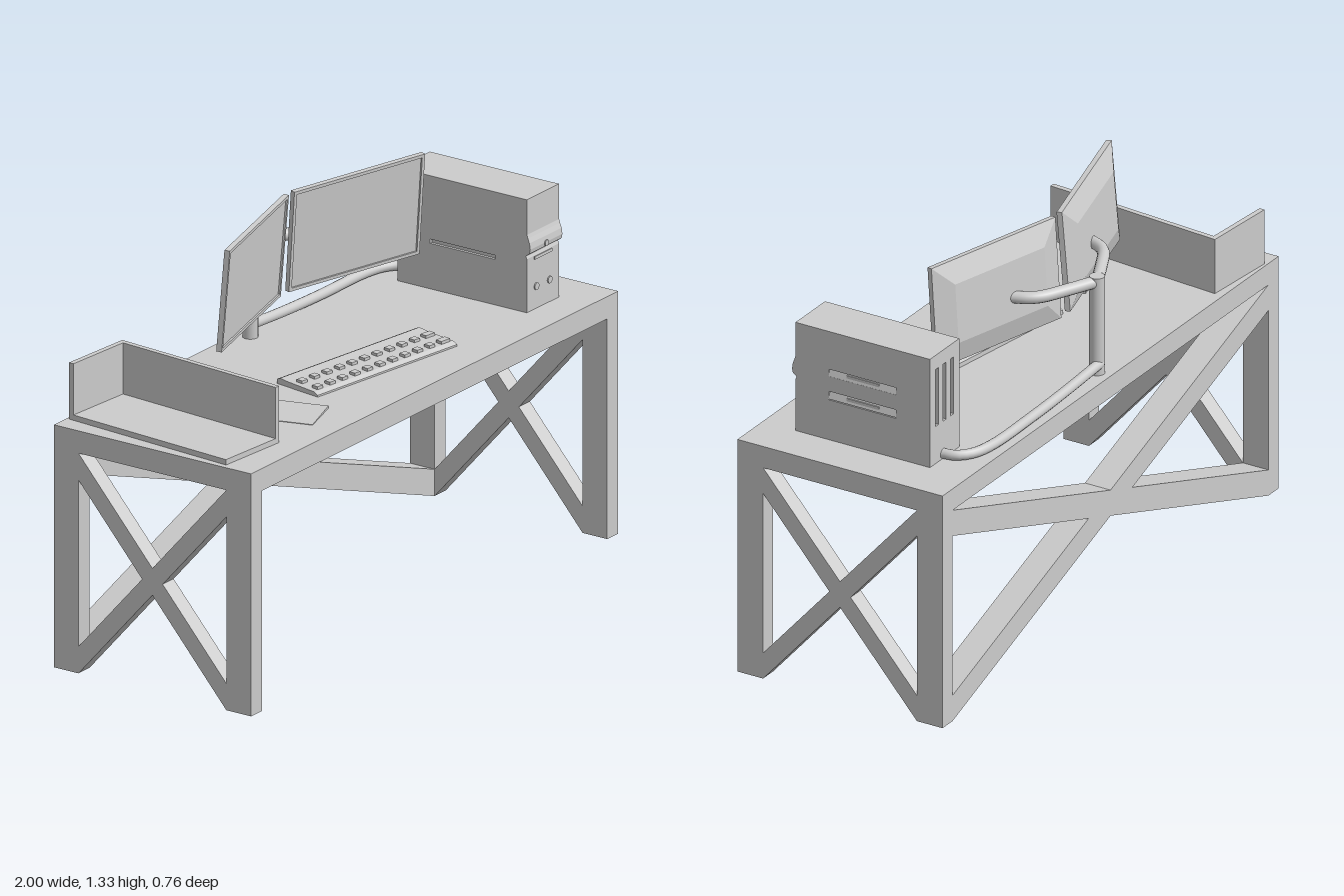
import * as THREE from 'three';

const grey = new THREE.MeshStandardMaterial({ color: 0xcccccc, side: THREE.DoubleSide });
const TOP = 0.815; // height of the desk surface

function add(parent, name, geometry, x = 0, y = 0, z = 0) {
  const mesh = new THREE.Mesh(geometry, grey);
  mesh.name = name;
  mesh.position.set(x, y, z);
  parent.add(mesh);
  return mesh;
}
function group(parent, name, x, y, z, yaw = 0) {
  const g = new THREE.Group();
  g.name = name;
  g.position.set(x, y, z);
  g.rotation.y = yaw;
  parent.add(g);
  return g;
}
const box = (w, h, d) => new THREE.BoxGeometry(w, h, d);
const polygon = (pts) => new THREE.Shape(pts.map((p) => new THREE.Vector2(...p)));
const rect = (cx, cy, w, h) => polygon([
  [cx - w / 2, cy - h / 2], [cx + w / 2, cy - h / 2], [cx + w / 2, cy + h / 2], [cx - w / 2, cy + h / 2]]);

// Extrusion centred on its depth; the side version maps shape x to world z
const extrude = (shape, depth) =>
  new THREE.ExtrudeGeometry(shape, { depth, bevelEnabled: false }).translate(0, 0, -depth / 2);
const extrudeSide = (shape, depth) => extrude(shape, depth).rotateY(-Math.PI / 2);

function tube(points, radius) {
  const curve = new THREE.CatmullRomCurve3(points.map((p) => new THREE.Vector3(...p)), false, 'centripetal');
  return new THREE.TubeGeometry(curve, 40, radius, 14);
}

function buildDesk(root) {
  const desk = group(root, 'desk', 0, 0, 0);
  add(desk, 'deskTop', box(2, 0.075, 0.76), 0, 0.7775, 0);
  for (const sx of [-1, 1]) for (const sz of [-1, 1])
    add(desk, 'leg', box(0.06, 0.74, 0.095), sx * 0.97, 0.37, sz * 0.3325);
  // Diagonal beams run from the foot of one leg to the head of the other
  const beam = (s, half) => polygon([
    [-s * half, 0], [s * half, 0.65], [s * half, 0.74], [-s * half, 0.09]]);
  for (const s of [-1, 1]) {
    add(desk, 'backBrace', extrude(beam(s, 0.94), 0.095), 0, 0, -0.3325);
    for (const side of [-1, 1])
      add(desk, 'sideBrace', extrudeSide(beam(s, 0.285), 0.06), side * 0.97, 0, 0);
  }
}

function buildMonitor(root, side) {
  const monitor = group(root, side < 0 ? 'rightMonitor' : 'leftMonitor', side * 0.277, 1.158, -0.115);
  monitor.rotation.set(0.08, -side * 0.26, 0, 'YXZ');
  const w = 0.535, h = 0.345;
  const frame = rect(0, 0, w, h);
  frame.holes.push(rect(0, 0, w - 0.022, h - 0.022));
  add(monitor, 'bezel', extrude(frame, 0.018), 0, 0, -0.009);
  add(monitor, 'screen', box(w - 0.02, h - 0.02, 0.01), 0, 0, -0.011);
  // Back shell tapers towards the rear
  const shell = box(w, h, 0.024);
  const p = shell.attributes.position;
  for (let i = 0; i < p.count; i++)
    if (p.getZ(i) < 0) p.setXY(i, p.getX(i) * 0.72, p.getY(i) * 0.58);
  shell.computeVertexNormals();
  add(monitor, 'backShell', shell, 0, 0, -0.03);
}

function buildStand(root) {
  const stand = group(root, 'monitorStand', 0, 0, 0);
  add(stand, 'post', new THREE.CylinderGeometry(0.025, 0.025, 0.34, 20), 0, TOP + 0.17, -0.33);
  for (const s of [-1, 1])
    add(stand, 'arm', tube([[0, 1.135, -0.33], [s * 0.1, 1.135, -0.283], [s * 0.185, 1.135, -0.238],
      [s * 0.215, 1.135, -0.205], [s * 0.24, 1.135, -0.145]], 0.02));
  add(root, 'cable', tube([[0, 0.85, -0.34], [0.2, 0.838, -0.34], [0.4, 0.832, -0.34], [0.64, 0.832, -0.338],
    [0.72, 0.832, -0.318], [0.762, 0.832, -0.28], [0.772, 0.832, -0.23]], 0.017));
}

function buildTower(root) {
  const tower = group(root, 'computerTower', 0.7625, TOP, 0);
  const w = 0.175, skin = 0.01;
  // Side outline with a rounded ridge across the front
  const outline = (back) => polygon([
    [back, 0], [0.258, 0], [0.258, 0.18], [0.254, 0.19], [0.268, 0.2], [0.271, 0.215],
    [0.268, 0.235], [0.262, 0.25], [0.258, 0.262], [0.258, 0.38], [back, 0.38]]);
  add(tower, 'case', extrudeSide(outline(-0.228), w - 2 * skin));
  // Side panels with vent slots
  const vented = outline(-0.24);
  vented.holes.push(rect(0.01, 0.235, 0.25, 0.025), rect(0.01, 0.155, 0.25, 0.03));
  add(tower, 'leftPanel', extrudeSide(vented, skin), (w - skin) / 2, 0, 0);
  for (const y of [0.235, 0.155]) {
    const louver = add(tower, 'louver', box(0.003, 0.026, 0.25), (w - skin) / 2, y, 0.01);
    louver.rotation.z = 0.35;
    add(tower, 'louverRecess', box(0.006, 0.012, 0.12), (w - skin) / 2, y, 0.01);
  }
  const slotted = outline(-0.24);
  slotted.holes.push(rect(0.01, 0.16, 0.25, 0.014));
  add(tower, 'rightPanel', extrudeSide(slotted, skin), -(w - skin) / 2, 0, 0);
  // Rear panel with upright vents
  const rear = rect(0, 0.19, w - 2 * skin, 0.38);
  for (const x of [-0.045, 0, 0.045]) rear.holes.push(rect(x, 0.23, 0.018, 0.2));
  add(tower, 'rearPanel', extrude(rear, 0.012), 0, 0, -0.234);
  // Front controls
  add(tower, 'driveSlot', box(0.095, 0.01, 0.006), 0, 0.172, 0.258);
  const disc = (r) => new THREE.CylinderGeometry(r, r, 0.008, 16).rotateX(Math.PI / 2);
  add(tower, 'powerButton', disc(0.01), 0, 0.212, 0.27);
  for (const x of [-0.037, 0.035]) add(tower, 'port', disc(0.012), x, 0.075, 0.258);
}

function buildKeyboard(root) {
  const keyboard = group(root, 'keyboard', 0.006, TOP, 0.115, -0.151);
  // Wedge that slopes down towards the typist
  add(keyboard, 'keyboardBody', extrudeSide(polygon([
    [-0.089, 0], [0.089, 0], [0.089, 0.006], [0.074, 0.014], [-0.042, 0.018], [-0.075, 0.021], [-0.089, 0.015]]), 0.632));
  for (const [z, y] of [[-0.01, 0.02], [0.057, 0.018]])
    for (let i = 0; i < 11; i++) {
      const last = i === 10;
      add(keyboard, 'key', box(last ? 0.04 : 0.025, 0.012, 0.024), -0.283 + i * 0.0565 + (last ? 0.004 : 0), y, z);
    }
}

function buildOrganizer(root) {
  const w = 0.262, d = 0.642, t = 0.018, h = 0.19;
  const organizer = group(root, 'deskOrganizer', -0.825, TOP, -0.04, -0.078);
  add(organizer, 'base', box(w, t, d), 0, t / 2, 0);
  add(organizer, 'sideWall', box(t, h, d), (w - t) / 2, h / 2, 0);
  add(organizer, 'backWall', box(w, h, t), 0, h / 2, -(d - t) / 2);
}

export function createModel() {
  const root = new THREE.Group();
  root.name = 'workDesk';
  buildDesk(root);
  for (const side of [-1, 1]) buildMonitor(root, side);
  buildStand(root);
  buildTower(root);
  buildKeyboard(root);
  buildOrganizer(root);
  // Thin mat that settles into the desk surface at its far side
  const mat = add(root, 'mouseMat', box(0.16, 0.008, 0.256), -0.494, TOP + 0.001, 0.141);
  mat.rotation.set(0, 0.297, 0.04, 'YXZ');
  return root;
}
